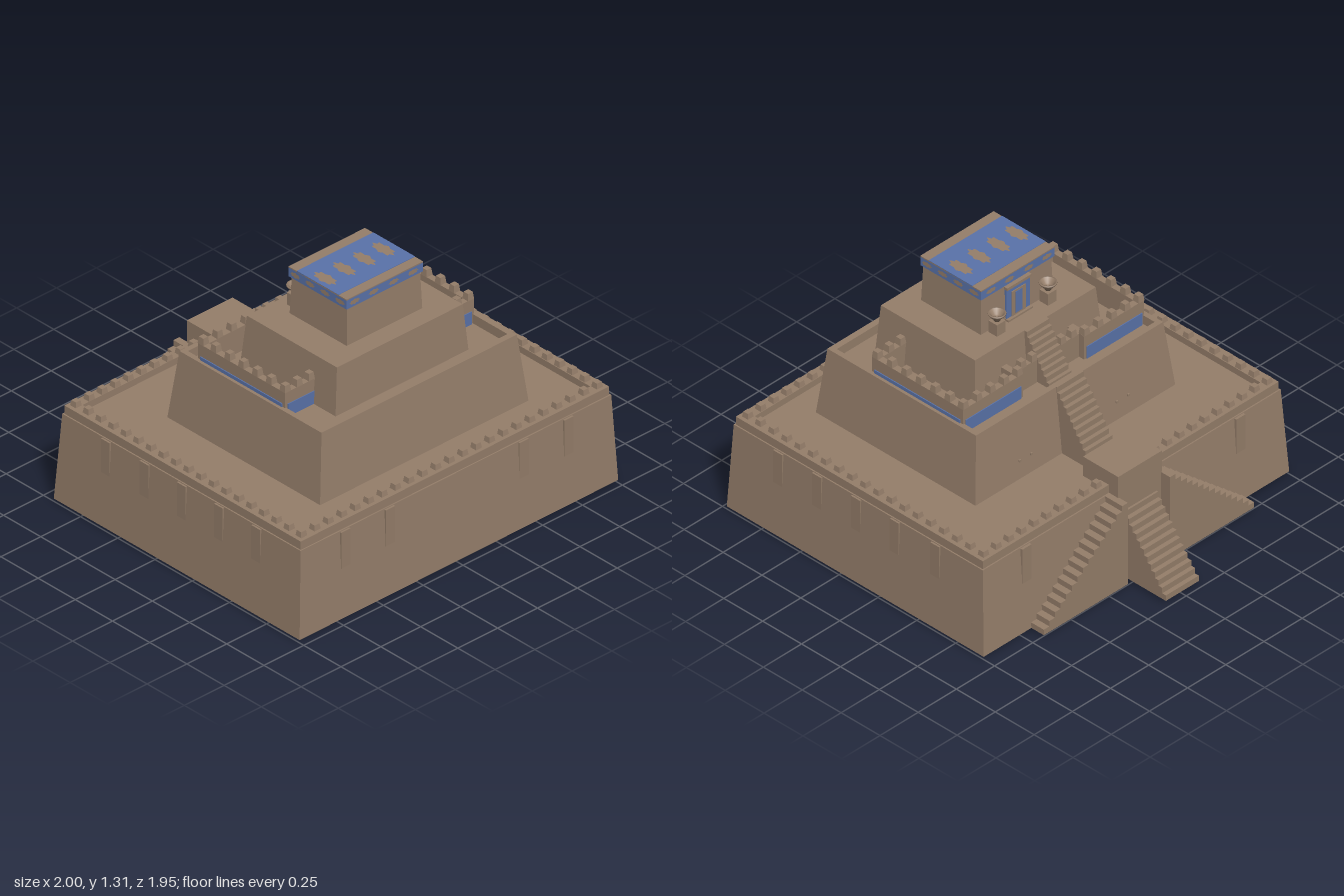
import * as THREE from 'three';

const brown = new THREE.MeshStandardMaterial({ color: 0x957e6a });
brown.name = 'mud brick';
const blue = new THREE.MeshStandardMaterial({ color: 0x5a73aa });
blue.name = 'glazed blue';

export function createModel() {
  const root = new THREE.Group();
  root.name = 'steppedTemple';

  const add = (name, geo, mat = brown, parent = root) => {
    const m = new THREE.Mesh(geo, mat);
    m.name = name;
    parent.add(m);
    return m;
  };
  const group = (name) => {
    const g = new THREE.Group();
    g.name = name;
    root.add(g);
    return g;
  };
  // box given by its limits
  const box = (name, x0, x1, y0, y1, z0, z1, mat, parent) =>
    add(name, new THREE.BoxGeometry(x1 - x0, y1 - y0, z1 - z0)
      .translate((x0 + x1) / 2, (y0 + y1) / 2, (z0 + z1) / 2), mat, parent);

  // solid through rectangular sections [y, halfWidth, zBack, zFront], capped at both ends
  const loft = (name, sections, mat = brown) => {
    const pos = [], idx = [];
    for (const [y, w, a, b] of sections) pos.push(-w, y, b, w, y, b, w, y, a, -w, y, a);
    for (let s = 0; s < sections.length - 1; s++) {
      for (let i = 0; i < 4; i++) {
        const a = s * 4 + i, b = s * 4 + (i + 1) % 4;
        idx.push(a, b, b + 4, a, b + 4, a + 4);
      }
    }
    const t = (sections.length - 1) * 4;
    idx.push(t, t + 1, t + 2, t, t + 2, t + 3, 0, 2, 1, 0, 3, 2);
    let g = new THREE.BufferGeometry();
    g.setAttribute('position', new THREE.Float32BufferAttribute(pos, 3));
    g.setIndex(idx);
    g = g.toNonIndexed();
    g.computeVertexNormals();
    return add(name, g, mat);
  };

  // row of tapered merlons from (xa, za) to (xb, zb)
  const merlonGeo = (h) => new THREE.CylinderGeometry(0.021, 0.027, h, 4)
    .rotateY(Math.PI / 4).translate(0, h / 2, 0).toNonIndexed();
  const merlons = (parent, xa, za, xb, zb, y, h, step = 0.086) => {
    const n = Math.max(1, Math.round(Math.hypot(xb - xa, zb - za) / step));
    const geo = merlonGeo(h);
    geo.computeVertexNormals();
    for (let i = 0; i <= n; i++) {
      add('merlon', geo, brown, parent)
        .position.set(xa + (xb - xa) * i / n, y, za + (zb - za) * i / n);
    }
  };

  // solid flight rising along +u
  const flight = (run, bottom, top, n, width) => {
    const s = new THREE.Shape();
    const rise = (top - bottom) / n;
    s.moveTo(0, bottom);
    for (let i = 0; i < n; i++) {
      s.lineTo(run * i / n, bottom + rise * (i + 1));
      s.lineTo(run * (i + 1) / n, bottom + rise * (i + 1));
    }
    s.lineTo(run, bottom);
    return new THREE.ExtrudeGeometry(s, { depth: width, bevelEnabled: false })
      .translate(0, 0, -width / 2);
  };

  // tiers with sloping walls and sunken terraces
  loft('lowerTier', [
    [0.015, 1, -0.68, 0.972], [0.48, 0.975, -0.65, 0.952], [0.48, 0.968, -0.643, 0.945],
    [0.525, 0.968, -0.643, 0.945], [0.525, 0.905, -0.588, 0.885], [0.49, 0.905, -0.588, 0.885],
  ]);
  loft('middleTier', [
    [0.48, 0.655, -0.288, 0.74], [0.85, 0.613, -0.25, 0.705],
    [0.85, 0.585, -0.222, 0.672], [0.8, 0.585, -0.222, 0.672],
  ]);
  loft('upperTier', [[0.79, 0.418, -0.05, 0.59], [1.05, 0.395, -0.03, 0.575]]);
  loft('temple', [[1.05, 0.237, 0.088, 0.472], [1.25, 0.229, 0.094, 0.466]]);

  // lower battlements, open at the stair platform
  const battlement = group('lowerBattlement');
  merlons(battlement, -0.928, 0.907, 0.928, 0.907, 0.525, 0.028);
  for (const s of [-1, 1]) {
    merlons(battlement, s * 0.928, -0.608, s * 0.928, 0.825, 0.525, 0.028);
    merlons(battlement, s * 0.19, -0.608, s * 0.845, -0.608, 0.525, 0.028);
  }

  // shallow drain ribs that die into the sloping walls
  const ribs = group('drainRibs');
  for (const s of [-1, 1]) {
    for (const x of [0.42, 0.7]) {
      box('rib', s * x - 0.029, s * x + 0.029, 0.28, 0.476, 0.9, 0.962, brown, ribs);
    }
    box('rib', s * 0.7 - 0.03, s * 0.7 + 0.03, 0.28, 0.476, -0.664, -0.6, brown, ribs);
    for (const z of [0.66, 0.41, 0.16, -0.09, -0.35]) {
      box('rib', s * 0.955 - 0.03, s * 0.955 + 0.03, 0.28, 0.476, z - 0.029, z + 0.029, brown, ribs);
    }
  }

  // stairs and their meeting platform at the back
  box('stairPlatform', -0.143, 0.143, 0.015, 0.6, -0.703, -0.477);
  const backFlight = (name, w, z0, z1, y0, y1, n) =>
    add(name, flight(z1 - z0, y0, y1, n, w).rotateY(-Math.PI / 2).translate(0, 0, z0));
  backFlight('lowerStair', 0.215, -0.975, -0.69, 0.015, 0.39, 12);
  backFlight('middleStair', 0.175, -0.48, -0.235, 0.49, 0.85, 12);
  backFlight('upperStair', 0.146, -0.19, -0.03, 0.8, 1.05, 9);
  for (const s of [-1, 1]) {
    const g = flight(0.55, 0.015, 0.48, 15, 0.13);
    if (s > 0) g.rotateY(Math.PI);
    add('sideStair', g.translate(s * 0.688, 0, -0.695));
  }

  // crenellated enclosures on the middle terrace, with a blue glazed foot
  for (const s of [-1, 1]) {
    const wing = group('enclosure');
    const wall = (a, b, z0, z1) =>
      box('enclosureWall', Math.min(s * a, s * b), Math.max(s * a, s * b), 0.8, 0.932, z0, z1, brown, wing);
    const band = (a, b, z0, z1) =>
      box('glazedBand', Math.min(s * a, s * b), Math.max(s * a, s * b), 0.8, 0.868, z0, z1, blue, wing);
    wall(0.2, 0.592, -0.147, -0.112);
    wall(0.557, 0.592, -0.112, 0.438);
    wall(0.4, 0.557, 0.403, 0.438);
    wall(0.2, 0.235, -0.112, -0.04);
    wall(0.075, 0.2, -0.115, -0.085);
    band(0.215, 0.577, -0.152, -0.147);
    band(0.592, 0.597, -0.13, 0.42);
    band(0.41, 0.577, 0.438, 0.443);
    merlons(wing, s * 0.22, -0.13, s * 0.574, -0.13, 0.932, 0.036);
    merlons(wing, s * 0.574, -0.045, s * 0.574, 0.42, 0.932, 0.036);
    merlons(wing, s * 0.425, 0.42, s * 0.5, 0.42, 0.932, 0.036);
    merlons(wing, s * 0.095, -0.1, s * 0.165, -0.1, 0.932, 0.036);
  }

  // roof slab: blue frieze, brown coping, blue field on top
  const roof = group('roof');
  box('frieze', -0.24, 0.24, 1.25, 1.298, 0.084, 0.474, blue, roof);
  box('coping', -0.24, 0.24, 1.298, 1.304, 0.084, 0.474, brown, roof);
  box('roofField', -0.24, 0.24, 1.3, 1.306, 0.14, 0.42, blue, roof);

  // lobed ornaments on the roof and frieze
  const lobed = (rx, ry) => {
    const pts = [];
    for (let i = 0; i < 32; i++) {
      const t = i / 32 * Math.PI * 2, r = 0.87 + 0.13 * Math.cos(8 * t);
      pts.push(new THREE.Vector2(rx * r * Math.cos(t), ry * r * Math.sin(t)));
    }
    return new THREE.ShapeGeometry(new THREE.Shape(pts));
  };
  const small = lobed(0.034, 0.014);
  for (const x of [-0.19, -0.07, 0.055, 0.175]) {
    add('roofOrnament', lobed(0.034, 0.075).rotateX(-Math.PI / 2), brown, roof).position.set(x, 1.3075, 0.277);
    add('friezeOrnament', small, brown, roof).position.set(x, 1.275, 0.4755);
    const back = add('friezeOrnament', small, brown, roof);
    back.position.set(x, 1.275, 0.0825);
    back.rotation.y = Math.PI;
  }
  for (const s of [-1, 1]) {
    for (const z of [0.13, 0.23, 0.33, 0.43]) {
      const o = add('friezeOrnament', small, brown, roof);
      o.position.set(s * 0.2415, 1.275, z);
      o.rotation.y = s * Math.PI / 2;
    }
  }

  // doorway on the back of the temple
  const door = group('doorway');
  box('threshold', -0.08, 0.08, 1.05, 1.06, 0.064, 0.09, brown, door);
  box('doorSurround', -0.076, 0.076, 1.06, 1.235, 0.08, 0.095, blue, door);
  box('doorLeaf', -0.045, 0.045, 1.06, 1.2, 0.076, 0.08, brown, door);
  box('doorPanel', -0.022, 0.022, 1.07, 1.19, 0.074, 0.076, blue, door);
  box('lintel', -0.08, 0.08, 1.225, 1.24, 0.072, 0.095, brown, door);

  // braziers flanking the door
  const bowl = [[0, 0], [0.014, 0], [0.02, 0.012], [0.043, 0.038], [0.043, 0.045], [0.034, 0.045], [0.018, 0.022], [0, 0.02]]
    .map(([x, y]) => new THREE.Vector2(x, y));
  for (const s of [-1, 1]) {
    const x = s * 0.167;
    box('brazierPedestal', x - 0.028, x + 0.028, 1.05, 1.115, 0.025, 0.08);
    add('brazierBowl', new THREE.LatheGeometry(bowl, 16)).position.set(x, 1.115, 0.053);
  }

  // wall pegs on the middle tier, pads and pegs under the base
  for (const s of [-1, 1]) {
    for (const x of [0.28, 0.355]) {
      box('wallPeg', s * x - 0.006, s * x + 0.006, 0.58, 0.592, -0.284, -0.27);
    }
    box('basePad', s * 0.342 - 0.076, s * 0.342 + 0.076, 0, 0.016, 0, 0.31);
    for (const z of [0.09, 0.16, 0.23]) {
      box('basePeg', s * 0.137 - 0.007, s * 0.137 + 0.007, 0.004, 0.016, z - 0.007, z + 0.007);
    }
  }
  return root;
}
